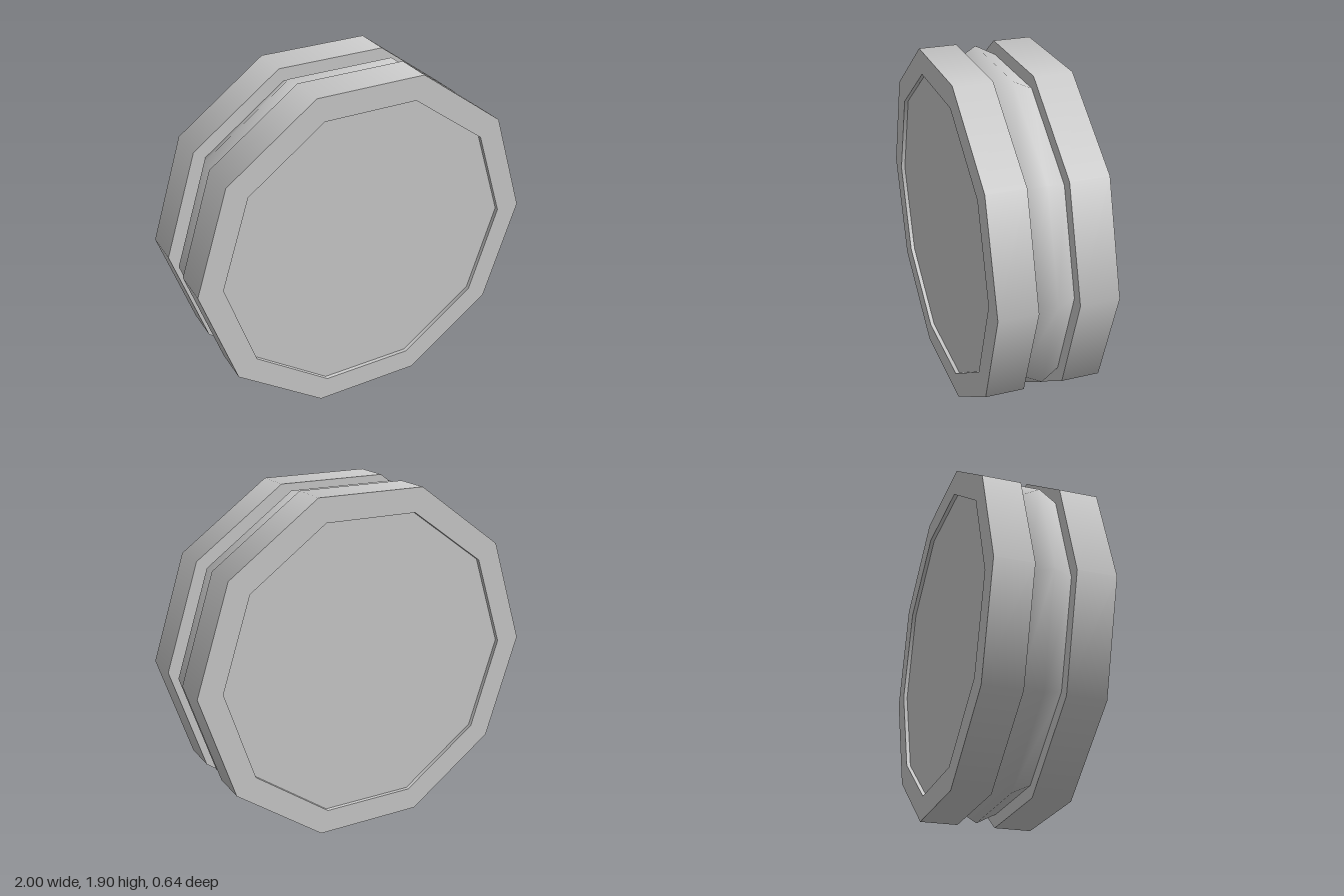
import * as THREE from 'three';
import { mergeGeometries } from 'three/addons/utils/BufferGeometryUtils.js';

const SIDES = 10;
const material = new THREE.MeshStandardMaterial({ color: 0xcccccc });

// Ten-sided turned surface about z, from [radius, z] points; smooth along the profile
function turned(points) {
  const profile = points.map(([r, z]) => new THREE.Vector2(r, z));
  return new THREE.LatheGeometry(profile, SIDES, Math.PI / 2).rotateX(Math.PI / 2);
}

// The same, with a sharp edge at every profile point
function turnedSharp(points) {
  return mergeGeometries(points.slice(1).map((p, i) => turned([points[i], p])));
}

function addMesh(group, name, geometry) {
  const mesh = new THREE.Mesh(geometry, material);
  mesh.name = name;
  group.add(mesh);
  return mesh;
}

export function createModel() {
  const model = new THREE.Group();
  model.name = 'groovedDisc';

  // Plate: inner face, rim, raised lip and shallow recessed face
  const plate = turnedSharp([
    [0.92, 0.108], [1, 0.108], [1, 0.32], [0.86, 0.32], [0.86, 0.298], [0, 0.298],
  ]);
  addMesh(model, 'frontPlate', plate);
  addMesh(model, 'backPlate', plate).rotation.y = Math.PI;

  // Peaked ridge in the groove between the plates
  addMesh(model, 'middleRidge', turned([[0.924, -0.108], [0.982, 0], [0.924, 0.108]]));

  // Stand the lower flat side on the ground
  const centre = Math.cos(Math.PI / SIDES);
  model.children.forEach((part) => { part.position.y = centre; });
  return model;
}
